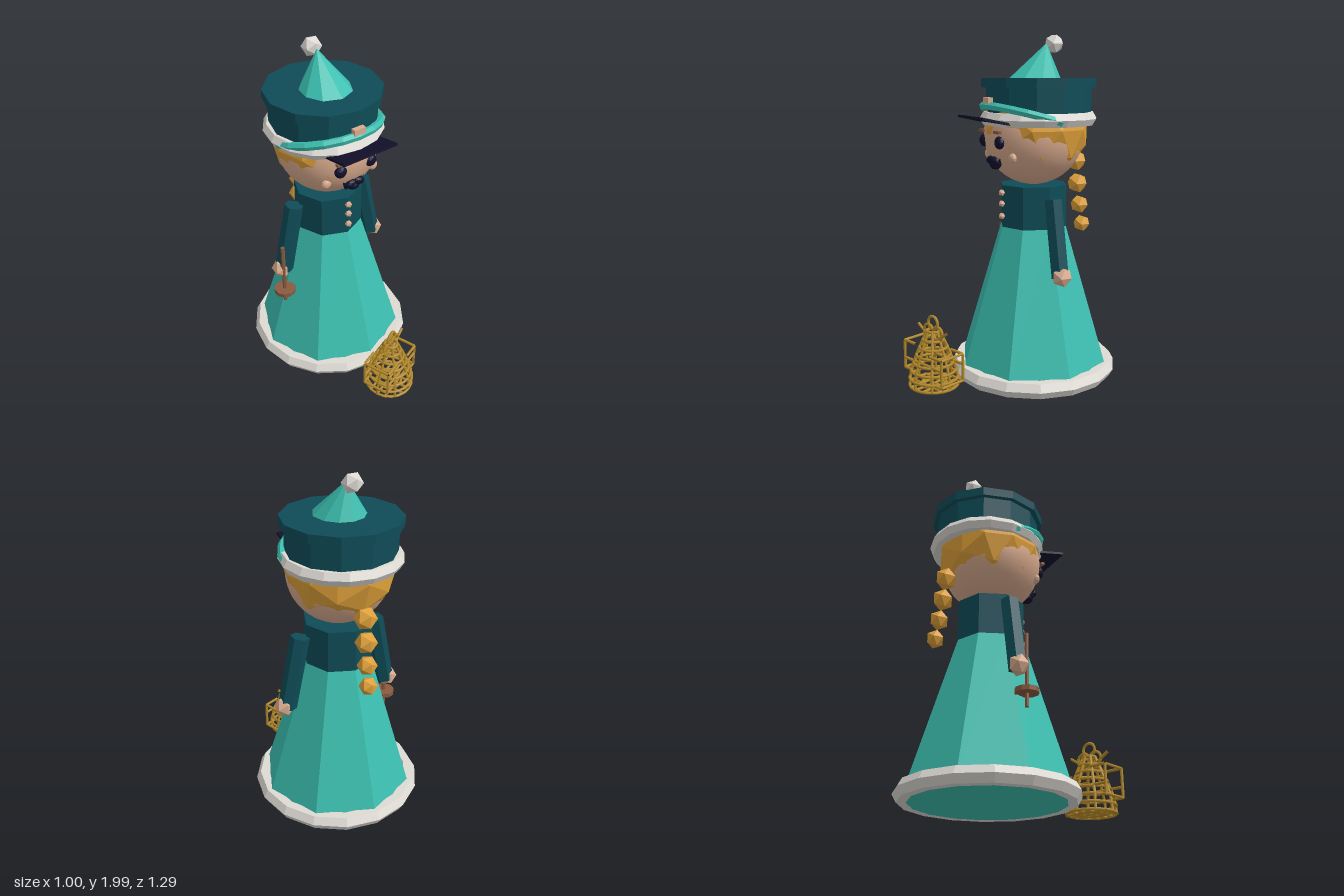
import * as THREE from 'three';

const mat = (name, color, flatShading = true) => {
  const m = new THREE.MeshStandardMaterial({ color, flatShading });
  m.name = name;
  return m;
};

export function createModel() {
  const teal = mat('teal', 0x3cbfb0);
  const darkTeal = mat('dark teal', 0x0f4c57);
  const white = mat('fur white', 0xdedad4);
  const skin = mat('skin', 0xd9ab8e);
  const smoothSkin = skin.clone();
  smoothSkin.flatShading = false;
  const blond = mat('blond', 0xdfa03a);
  const navy = mat('navy', 0x120f2b);
  const brown = mat('brown', 0x8b5a40);
  const gold = mat('gold', 0xb58a2a, false);

  const model = new THREE.Group();
  const Z = -0.145; // body axis
  const HZ = -0.175; // hat axis

  const add = (name, geo, material, x, y, z, parent = model) => {
    const m = new THREE.Mesh(geo, material);
    m.name = name;
    m.position.set(x, y, z);
    parent.add(m);
    return m;
  };
  const cyl = (rt, rb, h, n) => new THREE.CylinderGeometry(rt, rb, h, n);
  const ico = (r, d = 0) => new THREE.IcosahedronGeometry(r, d);
  const box = (w, h, d) => new THREE.BoxGeometry(w, h, d);
  const ring = (r, t, n = 16, s = 6, arc = Math.PI * 2) =>
    new THREE.TorusGeometry(r, t, s, n, arc).rotateX(Math.PI / 2);

  // Coat
  add('skirt', cyl(0.2, 0.457, 0.845, 8), teal, 0, 0.4725, Z);
  add('skirtBase', cyl(0.455, 0.455, 0.04, 32), teal, 0, 0.021, Z);
  add('skirtTrim', ring(0.448, 0.05), white, 0, 0.044, Z);
  add('torso', cyl(0.2, 0.2, 0.26, 8), darkTeal, 0, 1.01, Z);
  for (const y of [1.097, 1.033, 0.96]) add('button', ico(0.021), skin, 0, y, 0.06);

  // Arms, hands, eyes, cheeks and brows
  for (const s of [1, -1]) {
    add('arm', cyl(0.055, 0.055, 0.44, 6), darkTeal, s * 0.283, 0.86, Z).rotation.z = s * 0.204;
    add('hand', ico(0.061), skin, s * 0.345, 0.655, Z);
    add('eye', ico(0.038, 1), navy, s * 0.1, 1.395, 0.122).scale.z = 0.75;
    add('cheek', ico(0.031, 1), skin, s * 0.158, 1.312, 0.07).scale.z = 0.7;
    add('eyebrow', box(0.07, 0.016, 0.02), brown, s * 0.1, 1.452, 0.135);
    const lobe = add('moustacheLobe', ico(0.034, 1), navy, s * 0.028, 1.288, 0.113);
    lobe.scale.set(1.1, 0.75, 0.8);
    lobe.rotation.z = -s * 0.3;
    add('moustacheTip', new THREE.ConeGeometry(0.02, 0.055, 5), navy, s * 0.06, 1.288, 0.103).rotation.z = -s * 0.6;
  }
  add('moustacheCentre', ico(0.036, 1), navy, 0, 1.26, 0.1).scale.set(1.1, 0.75, 0.9);

  // Staff held in the right hand
  add('staff', cyl(0.012, 0.012, 0.41, 6), brown, -0.355, 0.635, -0.105);
  add('staffDisc', cyl(0.065, 0.065, 0.026, 10), brown, -0.355, 0.515, -0.105);

  // Head, hair and braid
  add('head', new THREE.SphereGeometry(0.29, 32, 20), smoothSkin, 0, 1.427, Z);
  add('hair', ico(0.31, 1), blond, 0, 1.462, -0.157);
  [[1.26, -0.432, 0.066], [1.122, -0.446, 0.063], [0.99, -0.463, 0.057], [0.87, -0.481, 0.053]]
    .forEach(([y, z, r]) => add('braidBead', ico(r), blond, 0, y, z));

  // Hat
  add('hatFur', ring(0.298, 0.043), white, 0, 1.52, HZ);
  add('hatBody', cyl(0.305, 0.305, 0.2, 12), darkTeal, 0, 1.6, HZ);
  add('hatTopBand', cyl(0.332, 0.332, 0.052, 12), darkTeal, 0, 1.722, HZ);
  add('hatCone', new THREE.ConeGeometry(0.21, 0.3, 10), teal, 0, 1.8, -0.188).rotation.x = -0.25;
  add('bobble', ico(0.058), white, 0, 1.942, -0.275);
  add('hatCord', ring(0.31, 0.024, 10, 6, Math.PI), teal, 0, 1.51, -0.152).rotation.x = -0.28;
  add('badge', box(0.072, 0.045, 0.03), skin, 0, 1.62, 0.145);
  add('visor', box(0.35, 0.014, 0.19), navy, 0, 1.514, 0.163).rotation.x = -0.21;

  // Lantern of gold wire
  const lantern = new THREE.Group();
  lantern.name = 'lantern';
  lantern.position.set(-0.005, 0, 0.495);
  lantern.rotation.y = 0.35;
  model.add(lantern);
  const T = 0.0085;
  const wire = (name, pts) => {
    const path = new THREE.CurvePath();
    const v = pts.map(p => new THREE.Vector3(...p));
    for (let i = 1; i < v.length; i++) path.add(new THREE.LineCurve3(v[i - 1], v[i]));
    for (const c of path.curves) add(name, new THREE.TubeGeometry(c, 1, T, 6), gold, 0, 0, 0, lantern);
  };
  const profile = [[0.14, 0.012], [0.14, 0.055], [0.13, 0.1], [0.115, 0.145],
    [0.098, 0.19], [0.08, 0.235], [0.06, 0.28], [0.038, 0.33]];
  for (const [r, y] of profile) add('lanternHoop', ring(r, T, 20), gold, 0, y, 0, lantern);
  add('lanternInnerHoop', ring(0.075, T, 20), gold, 0, 0.012, 0, lantern);
  for (let i = 0; i < 8; i++) {
    const a = (i * Math.PI) / 4, c = Math.cos(a), s = Math.sin(a);
    wire('lanternRib', [0, 2, 4, 7].map(k => [profile[k][0] * c, profile[k][1], profile[k][0] * s]));
  }
  for (const k of [-1, 0, 1]) {
    wire('lanternFloorWire', [[-0.14, 0.012, k * 0.05], [0.14, 0.012, k * 0.05]]);
    wire('lanternFloorWire', [[k * 0.05, 0.012, -0.13], [k * 0.05, 0.012, 0.13]]);
  }
  // Rectangular side frames
  for (const [s, top, low] of [[-1, 0.255, 0.09], [1, 0.21, 0.05]]) {
    const x = s * 0.16, w = 0.08;
    wire('lanternFrame', [[x, low, -w], [x, top, -w], [x, top, w], [x, low, w], [x, low, -w]]);
    for (const z of [-w, w]) {
      wire('lanternFrameBar', [[x, top, z], [s * 0.06, top, z]]);
      wire('lanternFrameBar', [[x, low, z], [s * 0.08, low, z]]);
    }
    wire('lanternAntenna', [[s * 0.03, 0.28, 0], [s * 0.13, 0.345, 0]]);
    add('lanternSideLoop', new THREE.TorusGeometry(0.04, T, 6, 16), gold, s * 0.04, 0.32, 0, lantern);
  }
  for (const z of [-0.08, 0.08]) wire('lanternLongBar', [[-0.16, 0.15, z], [0.16, 0.15, z]]);
  add('lanternTopLoop', new THREE.TorusGeometry(0.04, T, 6, 16), gold, 0, 0.375, 0, lantern);

  return model;
}
